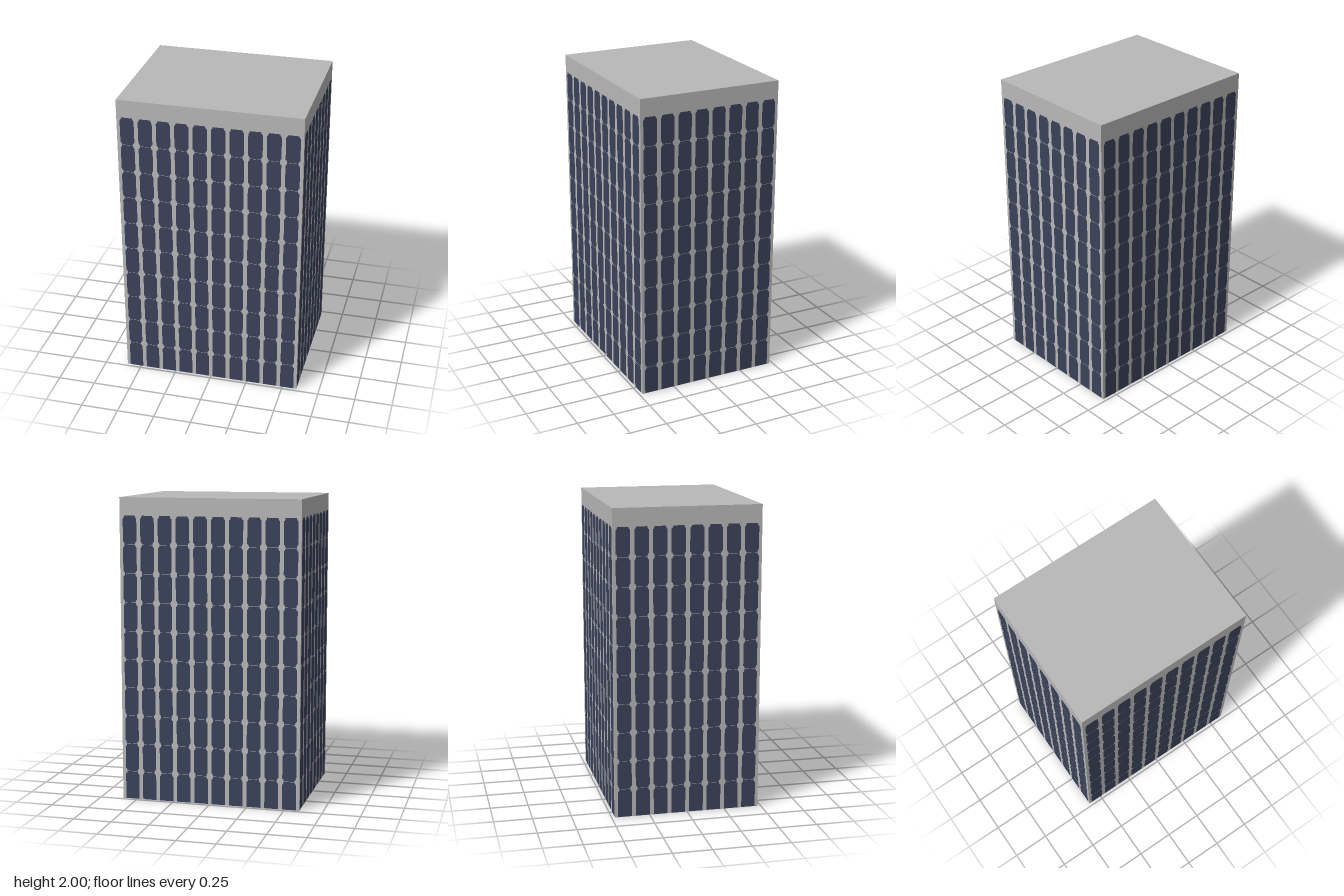
import * as THREE from 'three';

const HX = 0.598, HZ = 0.479, HEIGHT = 2;
const PITCH = 0.118, ROW = 0.1884, ROWS = 10;
const HALF = 0.046;   // half width of a pane
const GAP = 0.0012;   // half of the joint between storeys

const wallGrey = new THREE.MeshStandardMaterial({ color: 0xb8b8b8, side: THREE.DoubleSide });
wallGrey.name = 'wallGrey';
const glassNavy = new THREE.MeshStandardMaterial({ color: 0x3b425a, side: THREE.DoubleSide });
glassNavy.name = 'glassNavy';

// Outline of a pane with notched corners; ground floor panes keep square feet
function paneOutline(cx, row) {
  const y0 = row * ROW + GAP, y1 = (row + 1) * ROW - GAP;
  const right = row === 0
    ? [[HALF, y0]]
    : [[HALF - 0.01, y0], [HALF - 0.01, y0 + 0.006], [HALF - 0.004, y0 + 0.017], [HALF, y0 + 0.019]];
  right.push([HALF, y1 - 0.019], [HALF - 0.004, y1 - 0.017], [HALF - 0.01, y1 - 0.006], [HALF - 0.01, y1]);
  const left = right.map(([x, y]) => [-x, y]).reverse();
  return [...right, ...left].map(([x, y]) => new THREE.Vector2(cx + x, y));
}

// One facade: a frame pierced by openings, with panes flush in them
function facade(name, half, columns) {
  const frame = new THREE.Shape([
    new THREE.Vector2(-half, 0), new THREE.Vector2(half, 0),
    new THREE.Vector2(half, HEIGHT), new THREE.Vector2(-half, HEIGHT),
  ]);
  const panes = [];
  for (let c = 0; c < columns; c++) {
    const cx = (c - (columns - 1) / 2) * PITCH;
    for (let r = 0; r < ROWS; r++) {
      const outline = paneOutline(cx, r);
      frame.holes.push(new THREE.Path(outline));
      panes.push(new THREE.Shape(outline));
    }
  }
  const group = new THREE.Group();
  group.name = name;
  const wall = new THREE.Mesh(new THREE.ShapeGeometry(frame), wallGrey);
  wall.name = name + 'Frame';
  const windows = new THREE.Mesh(new THREE.ShapeGeometry(panes), glassNavy);
  windows.name = name + 'Windows';
  group.add(wall, windows);
  return group;
}

export function createModel() {
  const tower = new THREE.Group();
  tower.name = 'officeTower';

  // Four facades, open underneath
  const sides = [
    ['frontFacade', HX, 10, HZ], ['leftFacade', HZ, 8, HX],
    ['backFacade', HX, 10, HZ], ['rightFacade', HZ, 8, HX],
  ];
  sides.forEach(([name, half, columns, distance], i) => {
    const side = facade(name, half, columns);
    const angle = i * Math.PI / 2;
    side.rotation.y = angle;
    side.position.set(Math.sin(angle) * distance, 0, Math.cos(angle) * distance);
    tower.add(side);
  });

  // Flat roof
  const roof = new THREE.Mesh(new THREE.PlaneGeometry(HX * 2, HZ * 2), wallGrey);
  roof.name = 'roof';
  roof.rotation.x = -Math.PI / 2;
  roof.position.y = HEIGHT;
  tower.add(roof);

  return tower;
}
